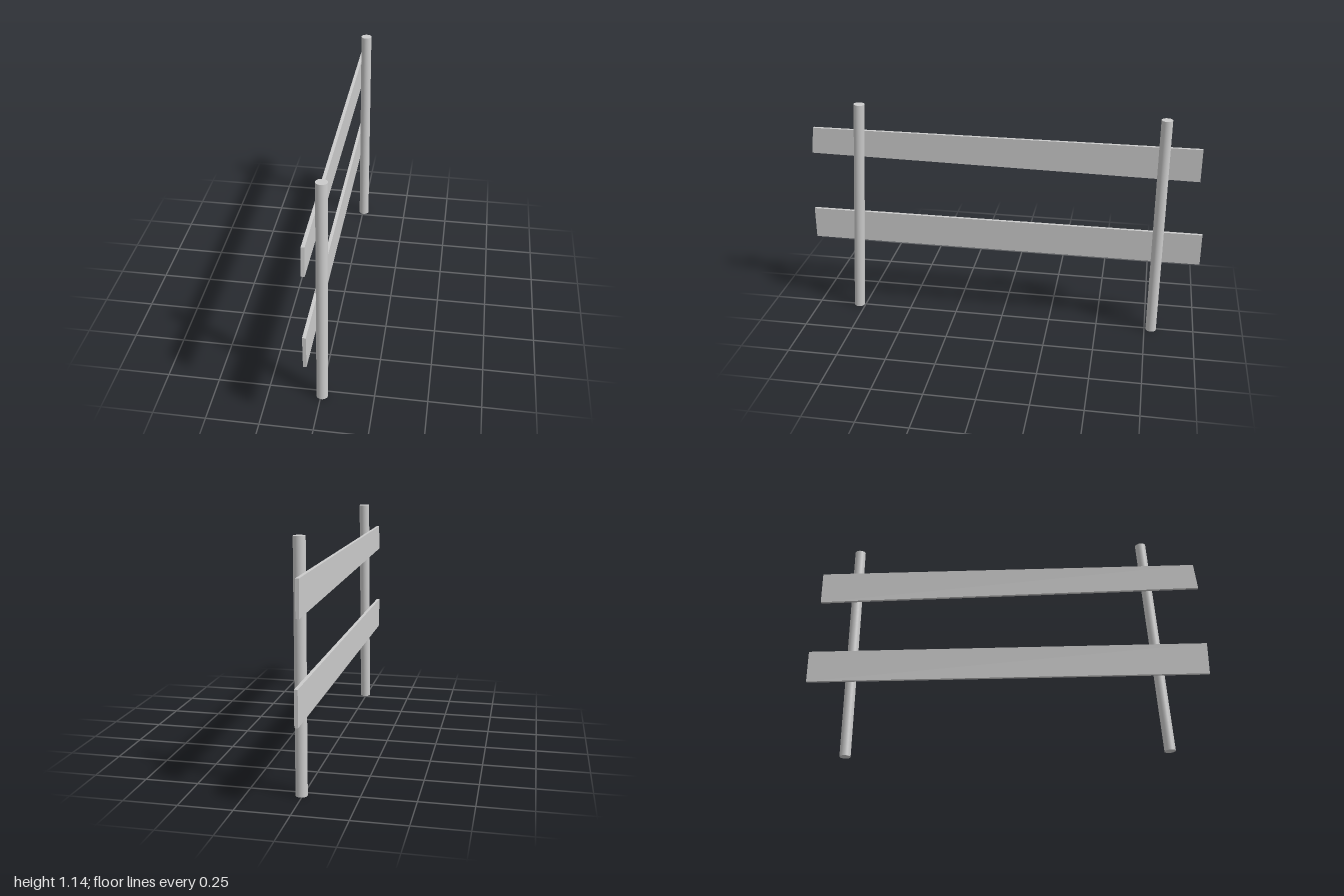
import * as THREE from 'three';

const material = new THREE.MeshStandardMaterial({ color: 0xcccccc });
const POST_X = 0.006, POST_R = 0.027, HEIGHT = 1.143;
const BOARD_X = -0.021, THICKNESS = 0.016;

// Round post running through its end centres, leaning along z
function post(name, zBottom, zTop) {
  const lean = Math.atan2(zTop - zBottom, HEIGHT);
  const length = (HEIGHT - 2 * POST_R * Math.abs(Math.sin(lean))) / Math.cos(lean);
  const mesh = new THREE.Mesh(new THREE.CylinderGeometry(POST_R, POST_R, length, 32), material);
  mesh.name = name;
  mesh.position.set(POST_X, HEIGHT / 2, (zBottom + zTop) / 2);
  mesh.rotation.x = lean;
  return mesh;
}

// Flat board from its outline given as [z, y] corners
function board(name, corners) {
  const shape = new THREE.Shape(corners.map(([z, y]) => new THREE.Vector2(z, y)));
  const geometry = new THREE.ExtrudeGeometry(shape, { depth: THICKNESS, bevelEnabled: false });
  geometry.rotateY(-Math.PI / 2).translate(BOARD_X, 0, 0);
  const mesh = new THREE.Mesh(geometry, material);
  mesh.name = name;
  return mesh;
}

export function createModel() {
  const fence = new THREE.Group();
  fence.name = 'fence';
  fence.add(
    post('leaningPost', 0.783, 0.709),
    post('straightPost', -0.784, -0.784),
    // Upper board is crookedly cut, lower board is square
    board('upperBoard', [[-0.964, 0.829], [0.984, 0.859], [0.969, 0.994], [-0.964, 0.994]]),
    board('lowerBoard', [[-1, 0.383], [1, 0.383], [1, 0.546], [-1, 0.546]]),
  );
  return fence;
}
